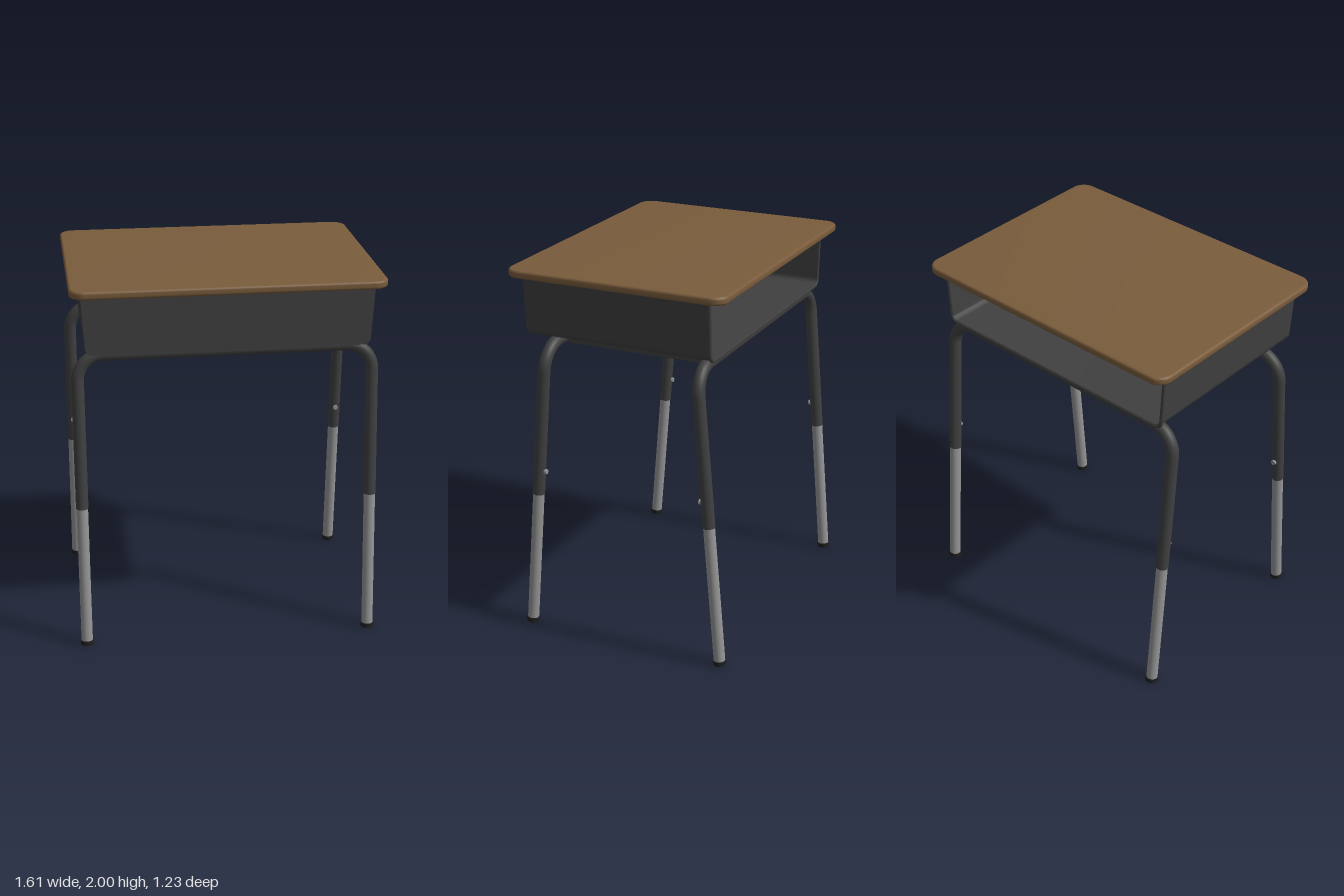
import * as THREE from 'three';
import { toCreasedNormals } from 'three/addons/utils/BufferGeometryUtils.js';

const mat = (name, color) => {
  const m = new THREE.MeshStandardMaterial({ color });
  m.name = name;
  return m;
};

export function createModel() {
  const wood = mat('brown wood', 0x7a5c3c);
  const dark = mat('dark painted steel', 0x404040);
  const steel = mat('bare steel', 0x959595);
  const rubber = mat('black rubber', 0x1e1e1e);

  const model = new THREE.Group();
  model.name = 'schoolDesk';
  const add = (name, geometry, material, parent = model) => {
    const mesh = new THREE.Mesh(geometry, material);
    mesh.name = name;
    parent.add(mesh);
    return mesh;
  };
  // Cylinder running between two points
  const rod = (name, a, b, radius, material, parent, sides = 24) => {
    const dir = b.clone().sub(a);
    const mesh = add(name, new THREE.CylinderGeometry(radius, radius, dir.length(), sides), material, parent);
    mesh.position.copy(a).add(b).multiplyScalar(0.5);
    mesh.quaternion.setFromUnitVectors(new THREE.Vector3(0, 1, 0), dir.normalize());
    return mesh;
  };

  // Tabletop: rounded rectangle with softened edges
  const bevel = 0.012, hw = 0.805 - bevel, hd = 0.605 - bevel, r = 0.065;
  const slab = new THREE.Shape();
  slab.absarc(hw - r, hd - r, r, 0, Math.PI / 2);
  slab.absarc(-hw + r, hd - r, r, Math.PI / 2, Math.PI);
  slab.absarc(-hw + r, -hd + r, r, Math.PI, Math.PI * 1.5);
  slab.absarc(hw - r, -hd + r, r, Math.PI * 1.5, Math.PI * 2);
  const topGeo = new THREE.ExtrudeGeometry(slab, {
    depth: 0.042 - 2 * bevel, bevelThickness: bevel, bevelSize: bevel, bevelSegments: 4, curveSegments: 10,
  });
  topGeo.rotateX(-Math.PI / 2).translate(0, 1.958 + bevel, 0.01);
  add('tabletop', toCreasedNormals(topGeo, 0.6), wood);

  // Book box: U-shaped shell, closed at the front and open at the back
  const box = new THREE.Group();
  box.name = 'bookBox';
  model.add(box);
  const uPath = (inset) => {
    const top = 0.748 - inset, bottom = 0.732 - inset, y = 1.643 + inset, c = 0.045 - inset;
    const p = new THREE.Path();
    p.moveTo(-top, 1.96);
    p.lineTo(-bottom, y + c);
    p.quadraticCurveTo(-bottom, y, -bottom + c, y);
    p.lineTo(bottom - c, y);
    p.quadraticCurveTo(bottom, y, bottom, y + c);
    p.lineTo(top, 1.96);
    return p;
  };
  const outer = uPath(0).getPoints(8), inner = uPath(0.01).getPoints(8);
  const extrude = (points, depth, z) => toCreasedNormals(
    new THREE.ExtrudeGeometry(new THREE.Shape(points), { depth, bevelEnabled: false }).translate(0, 0, z), 0.6);
  add('boxShell', extrude([...outer, ...inner.slice().reverse()], 1.03, -0.505), dark, box);
  add('boxFront', extrude(outer, 0.01, 0.525), dark, box);

  // Rolled lip around the opening
  const lip = uPath(0).getSpacedPoints(90).map((p) => new THREE.Vector3(p.x, Math.min(p.y, 1.955), -0.5));
  add('boxLip', new THREE.TubeGeometry(new THREE.CatmullRomCurve3(lip), 140, 0.01, 10), dark, box);

  // Support rails under the box, each with mounting flanges and screws
  for (const side of [1, -1]) {
    const rail = new THREE.Group();
    rail.name = side > 0 ? 'leftRail' : 'rightRail';
    rail.position.set(side * 0.53, 0, -0.02);
    model.add(rail);
    add('railChannel', new THREE.BoxGeometry(0.04, 0.078, 0.82), dark, rail).position.y = 1.604;
    add('railFlange', new THREE.BoxGeometry(0.1, 0.008, 0.78), dark, rail).position.y = 1.639;
    for (const z of [-0.28, 0, 0.28]) {
      rod('railScrew', new THREE.Vector3(-side * 0.036, 1.63, z),
        new THREE.Vector3(-side * 0.036, 1.638, z), 0.008, steel, rail, 10);
    }
  }

  // Leg frames: a bent upper tube with telescoping lower legs
  const yTop = 1.605, xLeg = 0.77, bend = 0.135, k = bend * 0.448;
  for (const [name, zTop, zFoot] of [['frontLegFrame', 0.405, 0.537], ['backLegFrame', -0.445, -0.584]]) {
    const frame = new THREE.Group();
    frame.name = name;
    model.add(frame);
    const at = (x, y) => new THREE.Vector3(x, y, zTop + (zFoot - zTop) * (yTop - y) / yTop);
    const corner = (s) => [at(s * xLeg, yTop - bend), at(s * xLeg, yTop - k), at(s * (xLeg - k), yTop), at(s * (xLeg - bend), yTop)];
    const path = new THREE.CurvePath();
    const right = corner(-1), left = corner(1).reverse();
    path.add(new THREE.LineCurve3(at(-xLeg, 0.78), right[0]));
    path.add(new THREE.CubicBezierCurve3(...right));
    path.add(new THREE.LineCurve3(right[3], left[0]));
    path.add(new THREE.CubicBezierCurve3(...left));
    path.add(new THREE.LineCurve3(left[3], at(xLeg, 0.78)));
    add('upperFrame', new THREE.TubeGeometry(path, 160, 0.033, 20), dark, frame);

    const inward = -Math.sign(zTop);
    for (const s of [1, -1]) {
      const x = s * xLeg;
      rod('upperLegEnd', at(x, 0.778), at(x, 0.79), 0.033, dark, frame);
      rod('lowerLeg', at(x, 0.02), at(x, 0.8), 0.0305, steel, frame);
      rod('foot', at(x, 0.003), at(x, 0.028), 0.034, rubber, frame);
      // Height adjustment button on the inner side of the leg
      const hub = at(x, 0.91);
      const tip = hub.clone();
      tip.z += inward * 0.044;
      rod('heightButton', hub, tip, 0.014, steel, frame, 14);
    }
  }
  return model;
}
